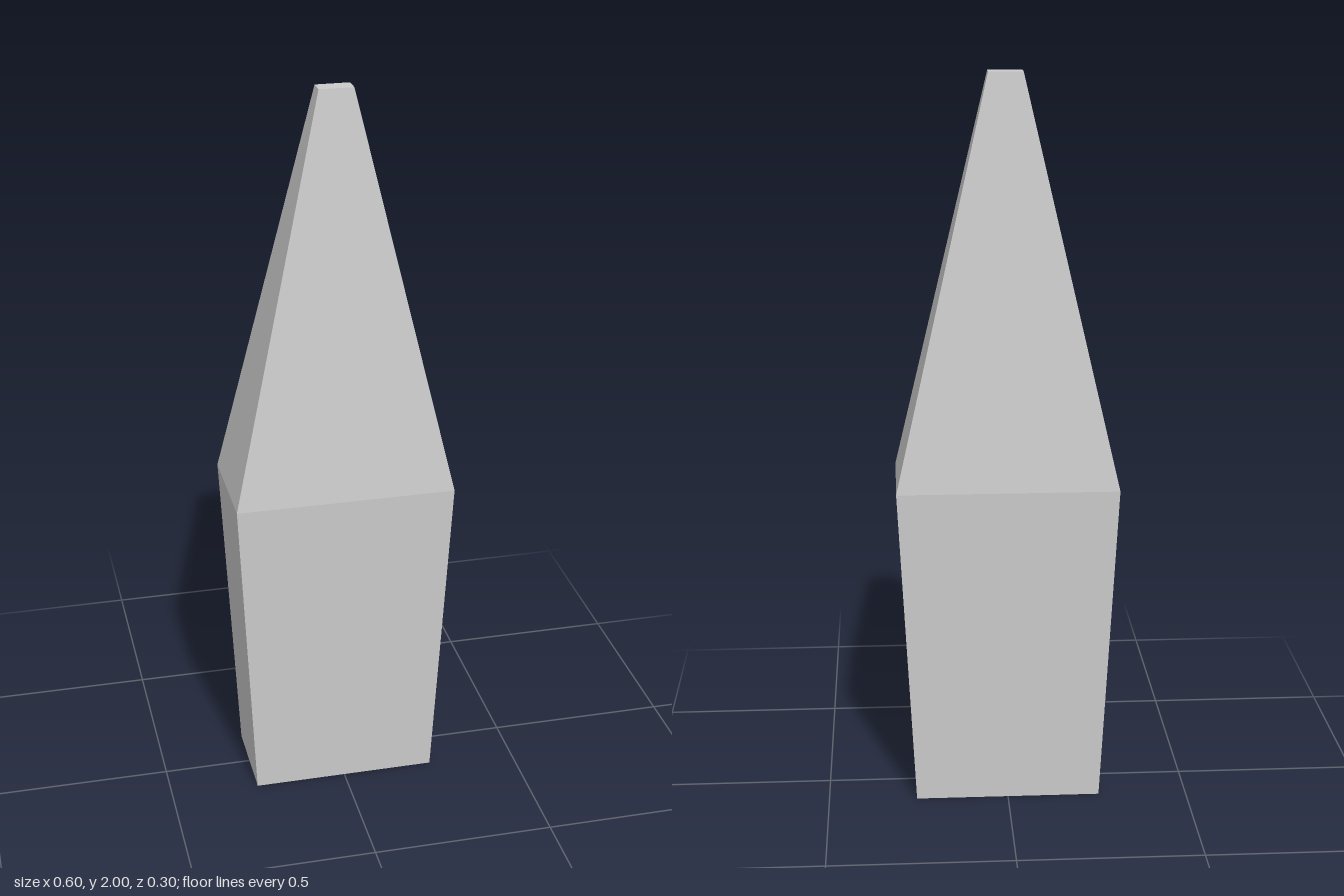
import * as THREE from 'three';

// Four-sided tapered shell from [half width, height] rings, half as deep as it is wide
function taperedShell(rings) {
  const points = rings.map(([w, y]) => new THREE.Vector2(w * Math.SQRT2, y));
  const geometry = new THREE.LatheGeometry(points, 4, Math.PI / 4).toNonIndexed();
  geometry.scale(1, 1, 0.5);
  geometry.computeVertexNormals();
  return geometry;
}

export function createModel() {
  const group = new THREE.Group();
  group.name = 'taperedSpike';
  const material = new THREE.MeshStandardMaterial({
    color: 0xcccccc, flatShading: true, side: THREE.DoubleSide,
  });

  // Flared lower body, open underneath
  const body = new THREE.Mesh(taperedShell([[0.255, 0], [0.3, 0.9]]), material);
  body.name = 'body';

  // Long taper closed by a small flat tip
  const tip = new THREE.Mesh(taperedShell([[0.3, 0.9], [0.046, 2], [0, 2]]), material);
  tip.name = 'tip';

  group.add(body, tip);
  return group;
}
